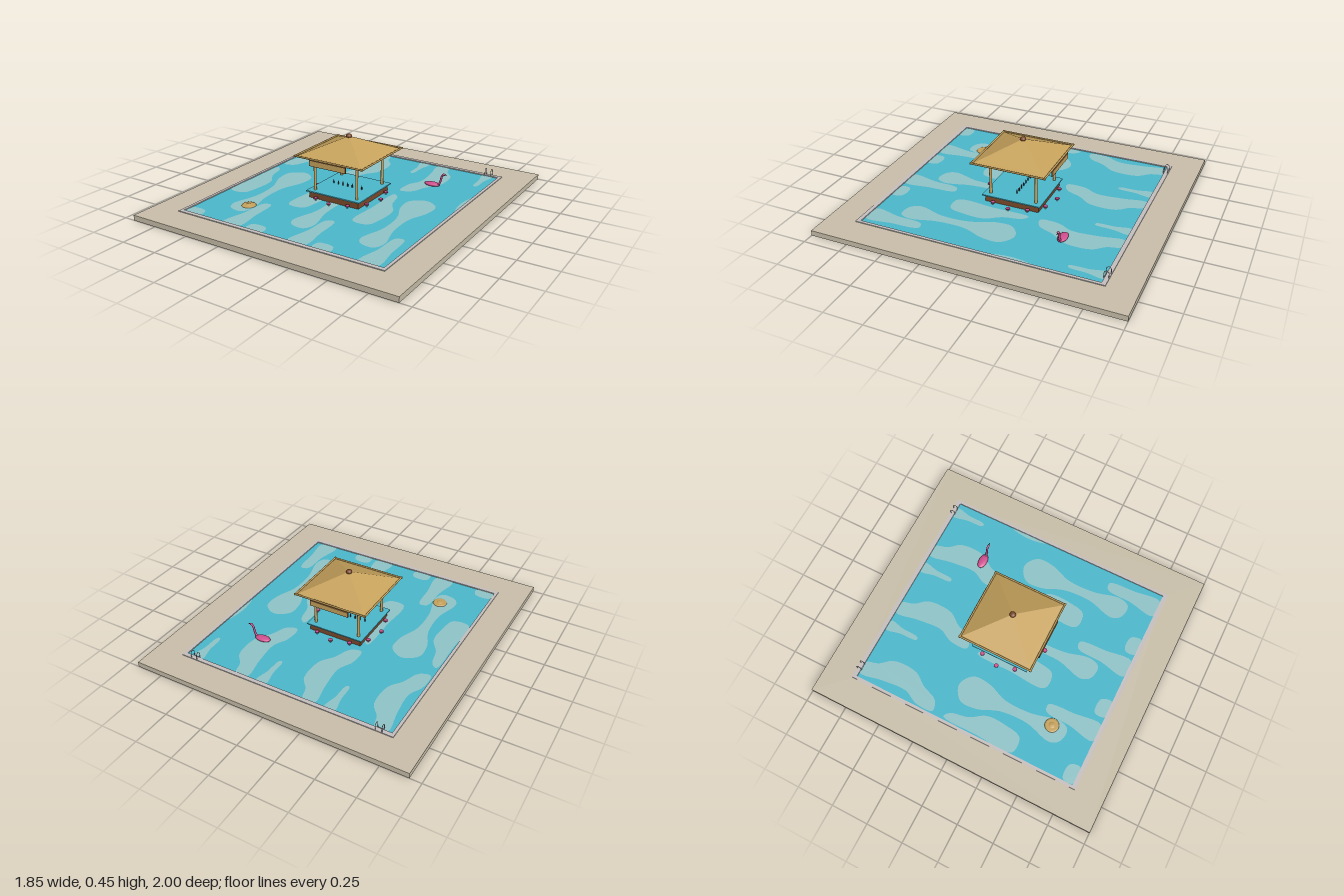
import * as THREE from 'three';

const mat = (name, color) => {
  const m = new THREE.MeshStandardMaterial({ color });
  m.name = name;
  return m;
};

export function createModel() {
  const root = new THREE.Group();
  root.name = 'poolWithSwimUpBar';

  const stone = mat('sandstone', 0xc9bfaa);
  const coping = mat('copingGrey', 0xc6bfc0);
  const water = mat('water', 0x4ab8cc);
  const foam = mat('paleWater', 0x8fc4c8);
  const straw = mat('straw', 0xc6a25c);
  const wood = mat('darkWood', 0x7d4a2a);
  const pink = mat('pink', 0xd0508f);
  const dark = mat('darkGlass', 0x3c3540);
  const metal = mat('metal', 0xa9adb4);

  const add = (name, geo, material, x = 0, y = 0, z = 0, parent = root) => {
    const m = new THREE.Mesh(geo, material);
    m.name = name;
    m.position.set(x, y, z);
    parent.add(m);
    return m;
  };
  const box = (w, h, d) => new THREE.BoxGeometry(w, h, d);
  const cyl = (r1, r2, h, n = 16) => new THREE.CylinderGeometry(r1, r2, h, n);

  // Rectangular frame lying flat, with its base at y = 0
  const frame = (x, z, ix, iz, h) => {
    const rect = (p, a, b) => p.moveTo(-a, -b).lineTo(a, -b).lineTo(a, b).lineTo(-a, b).closePath();
    const s = rect(new THREE.Shape(), x, z);
    s.holes.push(rect(new THREE.Path(), ix, iz));
    return new THREE.ExtrudeGeometry(s, { depth: h, bevelEnabled: false }).rotateX(-Math.PI / 2);
  };

  // Deck, coping and water
  const PX = 0.715, PZ = 0.782;
  add('deck', frame(0.927, 1, PX, PZ, 0.035), stone);
  add('coping', frame(0.735, 0.81, PX, PZ, 0.005), coping, 0, 0.035);
  add('poolWater', box(PX * 2, 0.033, PZ * 2), water, 0, 0.0165);

  // Pale ripples: closed outlines repeated in columns, clipped at the pool edge
  const ripples = [
    { cols: [-0.46, 0.01, 0.49], pts: [[0, -0.16], [0.09, -0.1], [0.09, 0.02], [0.04, 0.16], [0.04, 0.35], [0.08, 0.53],
      [0.05, 0.6], [-0.04, 0.59], [-0.075, 0.53], [-0.03, 0.35], [-0.04, 0.16], [-0.095, 0.02], [-0.095, -0.1]] },
    { cols: [-0.655, -0.18, 0.295], pts: [[-0.03, -0.78], [0.05, -0.78], [0.08, -0.7], [0.14, -0.62], [0.14, -0.45], [0.08, -0.36],
      [0.03, -0.25], [-0.04, -0.23], [-0.045, -0.35], [0, -0.45], [-0.01, -0.62]] },
    { cols: [-0.655, -0.18, 0.295], pts: [[-0.04, -0.15], [0, -0.12], [0.03, 0], [0.09, 0.1], [0.09, 0.24], [0.06, 0.35],
      [-0.05, 0.35], [-0.05, 0.1]] },
    { cols: [-0.345, 0.135, 0.61], pts: [[-0.02, 0.43], [0.03, 0.42], [0.05, 0.6], [0.06, 0.78], [-0.06, 0.78], [-0.035, 0.6]] },
    { cols: [-0.655, -0.18, 0.295], pts: [[-0.05, 0.71], [0.05, 0.71], [0.065, 0.78], [-0.05, 0.78]] },
    { cols: [-0.31, 0.165, 0.64], pts: [[-0.035, -0.78], [0.035, -0.78], [0.02, -0.68], [0.01, -0.56], [-0.01, -0.56], [-0.02, -0.68]] },
    { cols: [0.71], pts: [[0, -0.36], [0, -0.1], [-0.02, -0.2], [-0.015, -0.3]] },
  ];
  for (const { cols, pts } of ripples) {
    for (const cx of cols) {
      const curve = new THREE.CatmullRomCurve3(pts.map(([x, z]) => new THREE.Vector3(x + cx, -z, 0)), true);
      const outline = curve.getPoints(pts.length * 5).slice(0, -1).map((p) => new THREE.Vector2(
        THREE.MathUtils.clamp(p.x, -PX, PX), THREE.MathUtils.clamp(p.y, -PZ, PZ)));
      add('ripple', new THREE.ShapeGeometry(new THREE.Shape(outline)).rotateX(-Math.PI / 2), foam, 0, 0.0345);
    }
  }

  // Bar in the middle of the pool
  const bar = new THREE.Group();
  bar.name = 'bar';
  root.add(bar);
  add('barBase', box(0.37, 0.045, 0.37), wood, 0, 0.0535, 0, bar);
  add('counterTop', box(0.4, 0.008, 0.4), water, 0, 0.08, 0, bar);
  for (let i = -3; i <= 3; i++) {
    const x = -0.01 + i * 0.036;
    add('bottle', cyl(0.004, 0.004, 0.017, 10), dark, x, 0.0925, 0, bar);
    add('bottleNeck', cyl(0.0018, 0.003, 0.009, 10), dark, x, 0.1055, 0, bar);
  }
  for (const x of [-0.157, 0.157]) {
    for (const z of [-0.157, 0.157]) add('post', cyl(0.009, 0.009, 0.245), straw, x, 0.2, z, bar);
  }

  // Stools in a ring around the bar
  for (let i = 0; i < 12; i++) {
    const a = (i * Math.PI) / 6;
    const x = 0.24 * Math.cos(a), z = 0.24 * Math.sin(a);
    add('stoolLeg', cyl(0.005, 0.005, 0.018, 10), metal, x, 0.038, z, bar);
    add('stoolSeat', cyl(0.014, 0.014, 0.007), pink, x, 0.0495, z, bar);
  }

  // Thatched roof: flared eave, pyramid, edge poles and finial
  const pyramid = (top, bottom, h) =>
    new THREE.CylinderGeometry(top * Math.SQRT2, bottom * Math.SQRT2, h, 4).rotateY(Math.PI / 4).toNonIndexed();
  const flat = (g) => { g.computeVertexNormals(); return g; };
  add('roofEave', flat(pyramid(0.22, 0.25, 0.013)), straw, 0, 0.3245, 0, bar);
  add('roof', flat(pyramid(0.001, 0.22, 0.1)), straw, 0, 0.381, 0, bar);
  for (const s of [-1, 1]) {
    add('eavePole', cyl(0.006, 0.006, 0.51, 10).rotateZ(Math.PI / 2), straw, 0, 0.324, s * 0.248, bar);
    add('eavePole', cyl(0.006, 0.006, 0.51, 10).rotateX(Math.PI / 2), straw, s * 0.248, 0.324, 0, bar);
    // Hanging board on the front and back
    add('signBoard', box(0.27, 0.04, 0.006), wood, 0, 0.3, s * 0.252, bar);
    add('signFace', box(0.26, 0.033, 0.003), straw, 0, 0.3, s * 0.2555, bar);
  }
  add('finial', new THREE.SphereGeometry(0.02, 20, 14).scale(1, 0.75, 1), wood, 0, 0.431, 0, bar);

  // Bird-shaped float
  const bird = new THREE.Group();
  bird.name = 'birdFloat';
  bird.position.set(0.39, 0, -0.43);
  root.add(bird);
  add('birdBody', new THREE.SphereGeometry(1, 24, 16).scale(0.055, 0.014, 0.03), pink, 0, 0.042, 0, bird);
  const neck = new THREE.CatmullRomCurve3([[0.035, 0.042], [0.052, 0.055], [0.063, 0.085], [0.07, 0.112], [0.082, 0.123]]
    .map(([x, y]) => new THREE.Vector3(x, y, 0)));
  add('birdNeck', new THREE.TubeGeometry(neck, 24, 0.007, 10), pink, 0, 0, 0, bird);
  add('birdHead', new THREE.SphereGeometry(0.009, 16, 12).scale(1.3, 0.85, 0.9), pink, 0.083, 0.124, 0, bird);
  add('birdBeak', new THREE.ConeGeometry(0.005, 0.022, 10).rotateZ(-Math.PI / 2), dark, 0.101, 0.124, 0, bird);

  // Round straw float with a raised middle
  const hat = [[0, 0.012], [0.014, 0.011], [0.02, 0.008], [0.022, 0.006], [0.035, 0.008], [0.044, 0.006], [0.047, 0]];
  add('strawFloat', new THREE.LatheGeometry(hat.map(([x, y]) => new THREE.Vector2(x, y)).reverse(), 32),
    straw, -0.43, 0.034, 0.5);

  // Ladders on the back edge: two bent rails and rungs each
  for (const cx of [-0.643, 0.643]) {
    const ladder = new THREE.Group();
    ladder.name = 'ladder';
    ladder.position.set(cx, 0, -0.79);
    root.add(ladder);
    for (const x of [-0.021, 0.021]) {
      const rail = new THREE.CatmullRomCurve3([[0.035, -0.016], [0.075, -0.016], [0.086, -0.003], [0.075, 0.011], [0.03, 0.011]]
        .map(([y, z]) => new THREE.Vector3(0, y, z)));
      add('ladderRail', new THREE.TubeGeometry(rail, 24, 0.002, 8), metal, x, 0, 0, ladder);
    }
    add('ladderRung', cyl(0.0018, 0.0018, 0.042, 8).rotateZ(Math.PI / 2), metal, 0, 0.04, 0.011, ladder);
  }

  return root;
}
